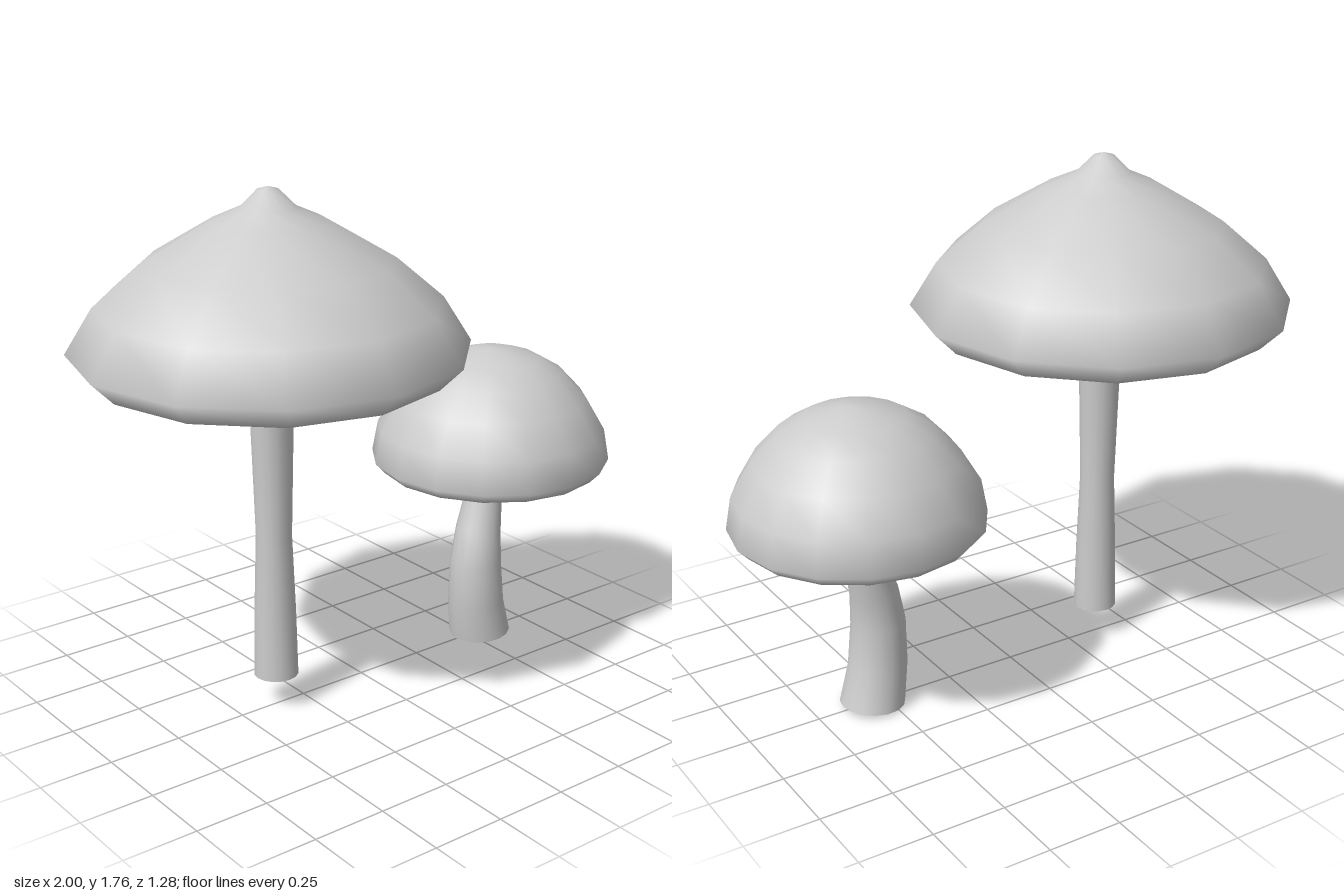
import * as THREE from 'three';
import { toCreasedNormals } from 'three/addons/utils/BufferGeometryUtils.js';

const material = new THREE.MeshStandardMaterial({ color: 0xcccccc, side: THREE.DoubleSide });

// Revolve a [radius, y] profile, listed so that the surface faces outwards
function lathe(profile, sides) {
  return new THREE.LatheGeometry(profile.map(([r, y]) => new THREE.Vector2(r, y)), sides);
}

function part(name, geometry, x = 0) {
  const mesh = new THREE.Mesh(geometry, material);
  mesh.name = name;
  mesh.position.x = x;
  return mesh;
}

// Closed stem through rings of { r, x, y, z, tilt }; tilt is the rise of the ring per unit of x
function stem(rings, sides) {
  const first = rings[0], last = rings[rings.length - 1];
  const all = [{ ...first, r: 0 }, ...rings, { ...last, r: 0 }];
  const geometry = lathe(all.map(({ r, y }) => [r, y]), sides);
  const pos = geometry.attributes.position;
  for (let i = 0; i < pos.count; i++) {
    const { x = 0, z = 0, tilt = 0 } = all[i % all.length];
    const lx = pos.getX(i);
    pos.setXYZ(i, lx + x, pos.getY(i) + lx * tilt, pos.getZ(i) + z);
  }
  return toCreasedNormals(geometry, 1);
}

export function createModel() {
  const model = new THREE.Group();

  // Tall mushroom: wide pointed cap, gills flaring into a collar, straight waisted stem
  const tall = new THREE.Group();
  tall.name = 'tallMushroom';
  tall.position.x = -0.36;
  tall.add(
    part('tallCap', lathe([
      [0.565, 1.18], [0.64, 1.255], [0.55, 1.4], [0.4, 1.53], [0.19, 1.655],
      [0.09, 1.7], [0.035, 1.755], [0, 1.765],
    ], 12)),
    part('tallGills', lathe([
      [0, 1.14], [0.078, 1.135], [0.17, 1.185], [0.28, 1.225], [0.42, 1.235], [0.52, 1.215], [0.565, 1.18],
    ], 12)),
    part('tallStem', stem([
      { r: 0.075, y: 0.12 }, { r: 0.07, y: 0.35 }, { r: 0.06, y: 0.62 },
      { r: 0.067, y: 0.88 }, { r: 0.074, y: 1.135 },
    ], 16)),
  );

  // Short mushroom: domed cap on a bent stem
  const short = new THREE.Group();
  short.name = 'shortMushroom';
  short.add(
    part('shortCap', lathe([
      [0.32, 0.64], [0.385, 0.653], [0.42, 0.69], [0.4, 0.8], [0.335, 0.91],
      [0.25, 1.0], [0.165, 1.05], [0.06, 1.083], [0, 1.088],
    ], 16), 0.578),
    part('shortGills', lathe([
      [0, 0.685], [0.07, 0.68], [0.2, 0.68], [0.27, 0.665], [0.32, 0.64],
    ], 16), 0.578),
    part('shortStem', stem([
      { r: 0.11, x: 0.55, y: 0.012, z: 0, tilt: 0.08 },
      { r: 0.1, x: 0.52, y: 0.145, z: 0.01, tilt: 0.06 },
      { r: 0.092, x: 0.513, y: 0.3, z: 0.012 },
      { r: 0.08, x: 0.528, y: 0.42, z: 0.007, tilt: -0.15 },
      { r: 0.065, x: 0.57, y: 0.545, z: -0.015, tilt: -0.1 },
      { r: 0.06, x: 0.58, y: 0.69, z: -0.015 },
    ], 16)),
  );

  model.add(tall, short);
  return model;
}
